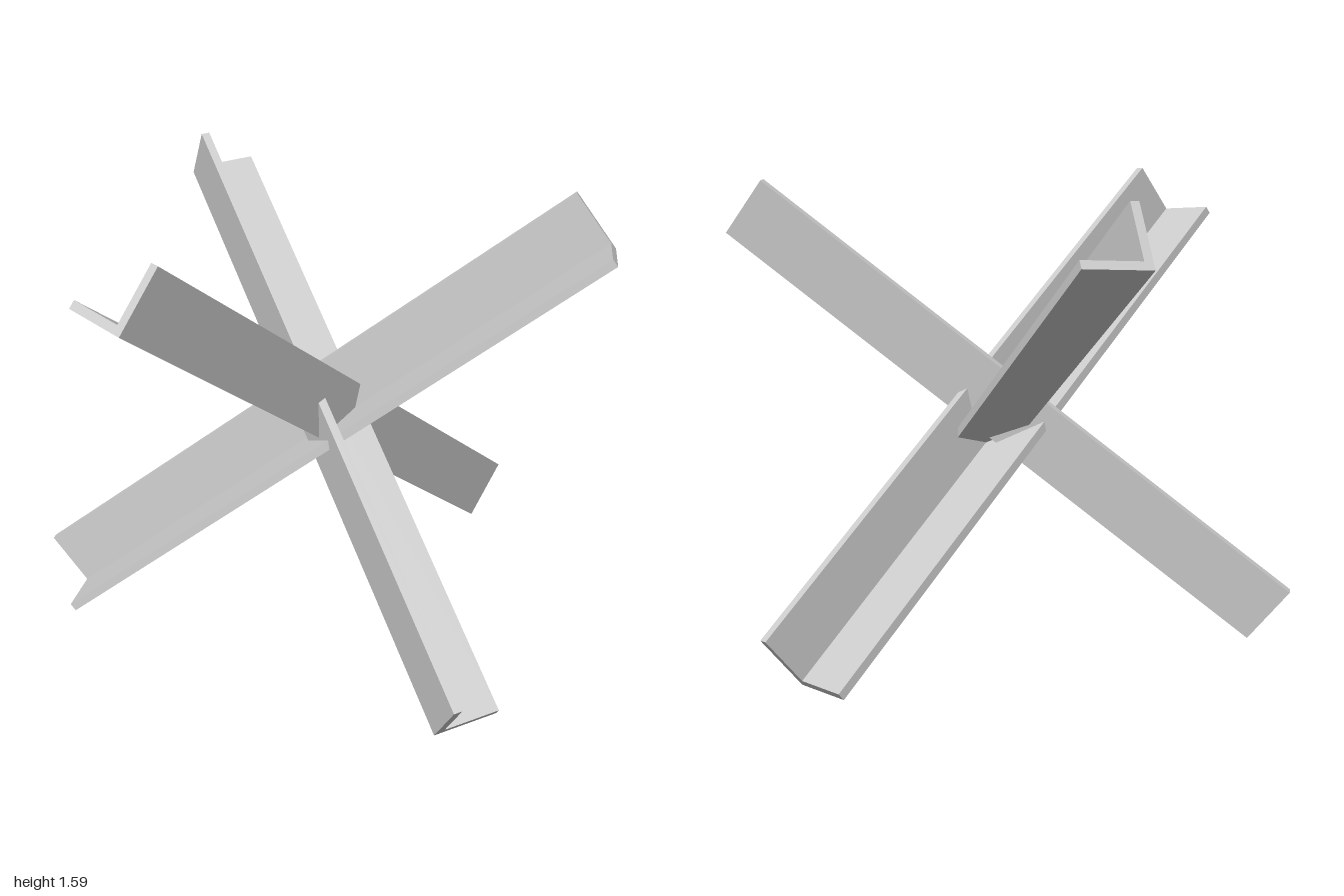
import * as THREE from 'three';

const FLANGE = 0.234, THICK = 0.03;

// L-shaped steel angle profile with its outer corner at the origin
function angleProfile() {
  const s = new THREE.Shape();
  s.moveTo(0, 0);
  s.lineTo(FLANGE, 0);
  s.lineTo(FLANGE, THICK);
  s.lineTo(THICK, THICK);
  s.lineTo(THICK, FLANGE);
  s.lineTo(0, FLANGE);
  s.closePath();
  return s;
}

// Beam whose outer corner runs from low to high; up points along the raised flange
function angleBeam(name, low, high, up, material) {
  const start = new THREE.Vector3(...low);
  const axis = new THREE.Vector3(...high).sub(start);
  const length = axis.length();
  axis.normalize();
  const u = new THREE.Vector3(...up);
  u.addScaledVector(axis, -u.dot(axis)).normalize();
  const v = new THREE.Vector3().crossVectors(axis, u);

  const geometry = new THREE.ExtrudeGeometry(angleProfile(), { depth: length, bevelEnabled: false });
  geometry.applyMatrix4(new THREE.Matrix4().makeBasis(u, v, axis).setPosition(start));
  const mesh = new THREE.Mesh(geometry, material);
  mesh.name = name;
  return mesh;
}

export function createModel() {
  const group = new THREE.Group();
  group.name = 'crossedBeamObstacle';
  const steel = new THREE.MeshStandardMaterial({ color: 0xcccccc, flatShading: true });

  // Three beams crossing at the middle, each with one end on the ground
  group.add(
    angleBeam('frontToBackBeam', [0.06, 0, -0.86], [0.06, 1.4, 1.0], [0.03, 0.187, -0.14], steel),
    angleBeam('risingLeftBeam', [-0.75, 0, 0.49], [0.77, 1.4, -0.58], [-0.13, 0.187, 0.06], steel),
    angleBeam('risingRightBeam', [0.8, 0, 0.41], [-0.92, 1.4, -0.3], [0.12, 0.187, 0.07], steel),
  );
  return group;
}
